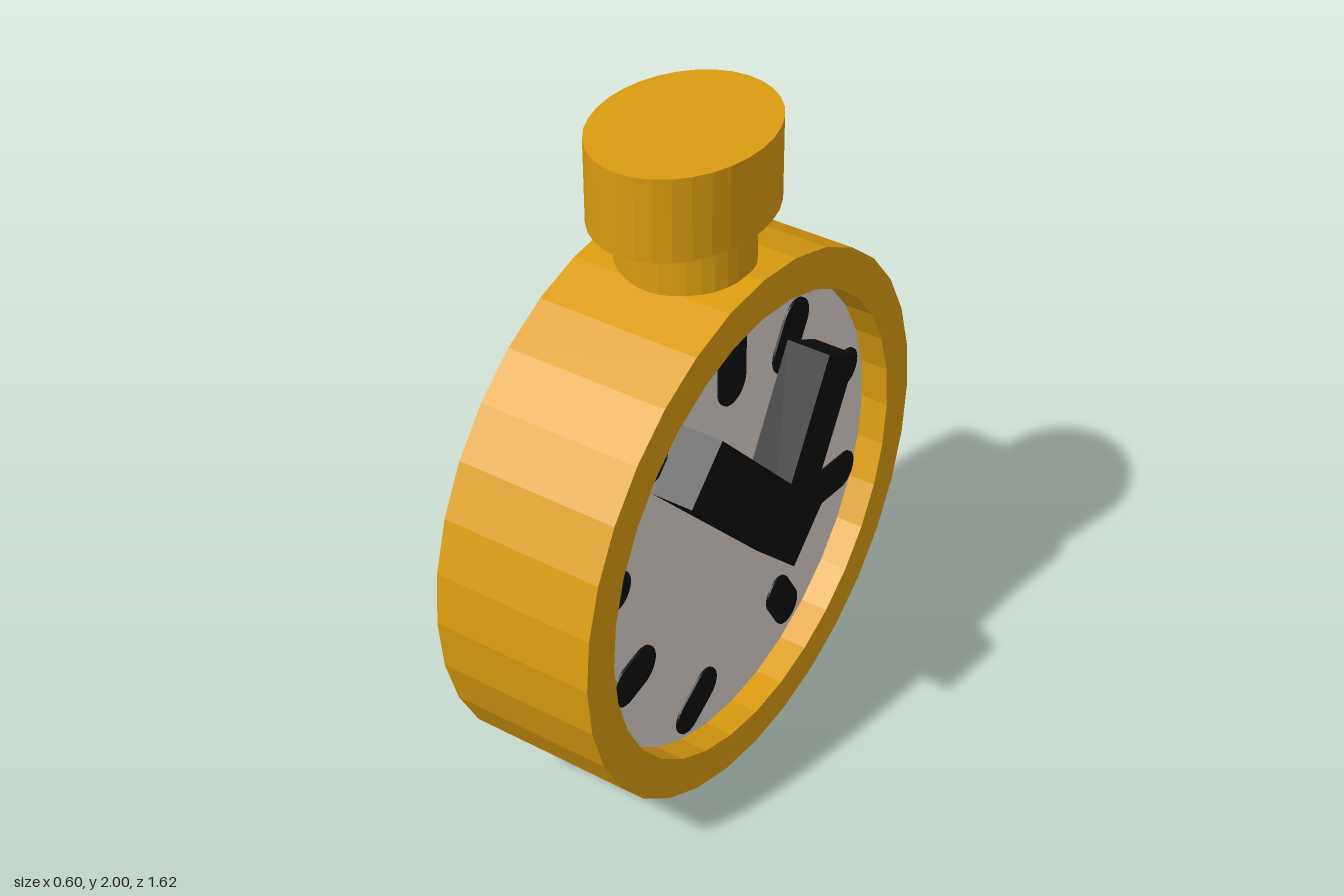
import * as THREE from 'three';

const gold = new THREE.MeshStandardMaterial({ color: 0xdb9c10 });
gold.name = 'gold';
const cream = new THREE.MeshStandardMaterial({ color: 0xddd3ce });
cream.name = 'cream';
const black = new THREE.MeshStandardMaterial({ color: 0x0d0d0d });
black.name = 'black';

const CENTER_Y = 0.808;
const SIDES = 32;

// Splits shared vertices so that every facet is flat
function faceted(geometry) {
  const g = geometry.toNonIndexed();
  g.computeVertexNormals();
  return g;
}

function part(parent, name, geometry, material) {
  const mesh = new THREE.Mesh(geometry, material);
  mesh.name = name;
  parent.add(mesh);
  return mesh;
}

// Flat pill outline running between two points, w wide
function pill(x1, y1, x2, y2, w) {
  const a = Math.atan2(y2 - y1, x2 - x1);
  const shape = new THREE.Shape();
  shape.absarc(x2, y2, w / 2, a - Math.PI / 2, a + Math.PI / 2, false);
  shape.absarc(x1, y1, w / 2, a + Math.PI / 2, a + Math.PI * 1.5, false);
  return new THREE.ExtrudeGeometry(shape, { depth: 0.007, bevelEnabled: false, curveSegments: 8 });
}

// Square-ended hand between two dial points, from depth z1 to z2
function hand(parent, name, [x1, y1], [x2, y2], width, z1, z2) {
  const mesh = part(parent, name,
    new THREE.BoxGeometry(Math.hypot(x2 - x1, y2 - y1), width, z2 - z1), black);
  mesh.position.set((x1 + x2) / 2, (y1 + y2) / 2, (z1 + z2) / 2);
  mesh.rotation.z = Math.atan2(y2 - y1, x2 - x1);
}

export function createModel() {
  const model = new THREE.Group();
  model.name = 'pocketWatch';

  // Case: closed back, thick rim and a shallow recess, turned about the x axis
  const profile = [[0, -0.3], [0.808, -0.3], [0.808, 0.185], [0.69, 0.185], [0.69, 0.095], [0, 0.095]]
    .map(([r, h]) => new THREE.Vector2(r, h));
  const caseGeometry = faceted(new THREE.LatheGeometry(profile, SIDES));
  caseGeometry.rotateZ(-Math.PI / 2);
  part(model, 'case', caseGeometry, gold).position.y = CENTER_Y;

  // Neck and crown, both oval in plan
  const neck = part(model, 'neck', faceted(new THREE.CylinderGeometry(1, 1, 0.24, SIDES)), gold);
  neck.scale.set(0.193, 1, 0.18);
  neck.position.set(-0.058, 1.66, 0);
  const crown = part(model, 'crown', faceted(new THREE.CylinderGeometry(1, 1, 0.24, SIDES)), gold);
  crown.scale.set(0.233, 1, 0.297);
  crown.position.set(-0.058, 1.88, 0);

  // Dial group is drawn in its own xy plane, then turned to face +x
  const dial = new THREE.Group();
  dial.name = 'dial';
  dial.rotation.y = Math.PI / 2;
  model.add(dial);

  const face = part(dial, 'face', new THREE.CircleGeometry(0.69, SIDES), cream);
  face.position.set(0, CENTER_Y, 0.1);
  face.rotation.z = Math.PI / 2;

  // Hour marks: start and end of each pill, and its width
  const marks = [
    [-0.02, 1.275, -0.02, 1.385, 0.13],
    [0.25, 1.22, 0.295, 1.3, 0.13],
    [0.445, 0.962, 0.58, 0.975, 0.12],
    [0.46, 0.612, 0.585, 0.6, 0.12],
    [0.235, 0.365, 0.285, 0.282, 0.115],
    [-0.23, 0.243, -0.152, 0.29, 0.12],
    [-0.522, 0.578, -0.458, 0.592, 0.13],
    [-0.595, 0.938, -0.56, 0.93, 0.12],
    [-0.42, 1.28, -0.385, 1.24, 0.12],
  ];
  marks.forEach((m, i) => {
    part(dial, 'hourMark' + (i + 1), pill(...m), black).position.z = 0.1;
  });

  // Hands stand clear of the dial
  hand(dial, 'hourHand', [0, 0.78], [0.27, 1.263], 0.165, 0.14, 0.272);
  hand(dial, 'minuteHand', [0.068, 0.787], [-0.432, 1.313], 0.19, 0.178, 0.3);

  return model;
}
